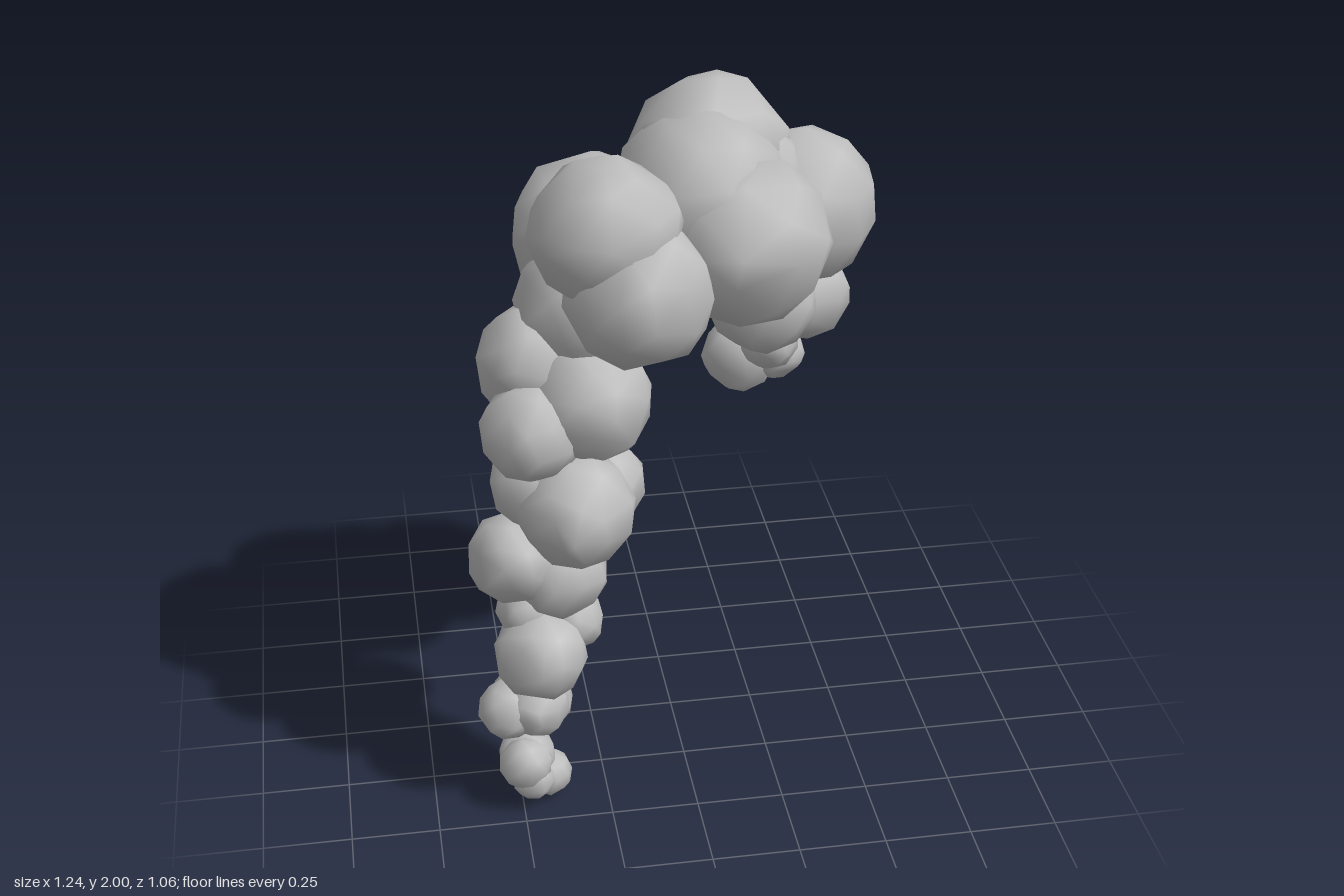
import * as THREE from 'three';
import { mergeVertices } from 'three/addons/utils/BufferGeometryUtils.js';

// Each puff: x, y, z, radius
const crown = [
  [0.13, 1.775, -0.13, 0.222], [0.08, 1.7, 0, 0.245], [0.17, 1.68, -0.1, 0.23],
  [0.19, 1.6, 0.09, 0.24], [0.39, 1.58, -0.165, 0.232], [0.31, 1.42, -0.33, 0.2],
  [0.02, 1.5, -0.18, 0.23], [-0.22, 1.6, -0.02, 0.225], [0.22, 1.6, -0.23, 0.205],
];
const shoulder = [
  [-0.21, 1.705, 0.21, 0.205], [-0.13, 1.55, 0.27, 0.205], [-0.25, 1.45, 0.12, 0.2],
];
const shortTail = [
  [0.28, 1.33, -0.1, 0.16], [0.44, 1.25, -0.28, 0.143], [0.33, 1.28, -0.37, 0.125],
  [0.26, 1.05, -0.3, 0.115], [0.36, 1.07, -0.27, 0.09], [0.33, 1.13, -0.22, 0.09],
  [0.33, 1.13, -0.33, 0.09],
];
const upperTrail = [
  [-0.27, 1.225, 0.24, 0.178], [-0.39, 1.3, 0.14, 0.172], [-0.43, 1.17, 0.3, 0.14],
  [-0.32, 0.95, 0.36, 0.163], [-0.25, 0.94, 0.21, 0.142], [-0.42, 1.0, 0.28, 0.13],
  [-0.49, 0.79, 0.32, 0.132], [-0.37, 0.73, 0.31, 0.14], [-0.45, 0.68, 0.195, 0.133],
];
const lowerTrail = [
  [-0.435, 0.51, 0.4, 0.13], [-0.34, 0.57, 0.32, 0.095], [-0.44, 0.5, 0.3, 0.1],
  [-0.46, 0.62, 0.33, 0.09], [-0.455, 0.3, 0.31, 0.115], [-0.53, 0.3, 0.36, 0.085],
  [-0.45, 0.31, 0.36, 0.095], [-0.49, 0.14, 0.41, 0.075], [-0.48, 0.13, 0.36, 0.085],
  [-0.42, 0.07, 0.37, 0.068], [-0.47, 0.09, 0.42, 0.06],
];

export function createModel() {
  const model = new THREE.Group();
  model.name = 'smokeTrail';
  const grey = new THREE.MeshStandardMaterial({ color: 0xbcbcbc });
  grey.name = 'smokeGrey';

  let seed = 7;
  const random = () => (seed = (seed * 16807) % 2147483647) / 2147483647;

  // Low-poly ball with slightly uneven corners, softly shaded
  const rough = new THREE.IcosahedronGeometry(1.02, 1);
  rough.deleteAttribute('normal');
  rough.deleteAttribute('uv');
  const ball = mergeVertices(rough);
  const corners = ball.attributes.position;
  const corner = new THREE.Vector3();
  for (let i = 0; i < corners.count; i++) {
    corner.fromBufferAttribute(corners, i);
    corner.x += (random() - 0.5) * 0.28;
    corner.y += (random() - 0.5) * 0.28;
    corner.z += (random() - 0.5) * 0.28;
    corner.setLength(1.01 + random() * 0.03);
    corners.setXYZ(i, corner.x, corner.y, corner.z);
  }
  ball.computeVertexNormals();

  // A cluster of overlapping puffs, each turned differently
  function addCluster(name, puffs) {
    const cluster = new THREE.Group();
    cluster.name = name;
    puffs.forEach(([x, y, z, r], i) => {
      const puff = new THREE.Mesh(ball, grey);
      puff.name = `${name}Puff${i + 1}`;
      puff.position.set(x, y, z);
      puff.scale.setScalar(r);
      puff.rotation.set(random() * 6.28, random() * 6.28, random() * 6.28);
      cluster.add(puff);
    });
    model.add(cluster);
  }

  addCluster('crown', crown);
  addCluster('shoulder', shoulder);
  addCluster('shortTail', shortTail);
  addCluster('upperTrail', upperTrail);
  addCluster('lowerTrail', lowerTrail);
  return model;
}
